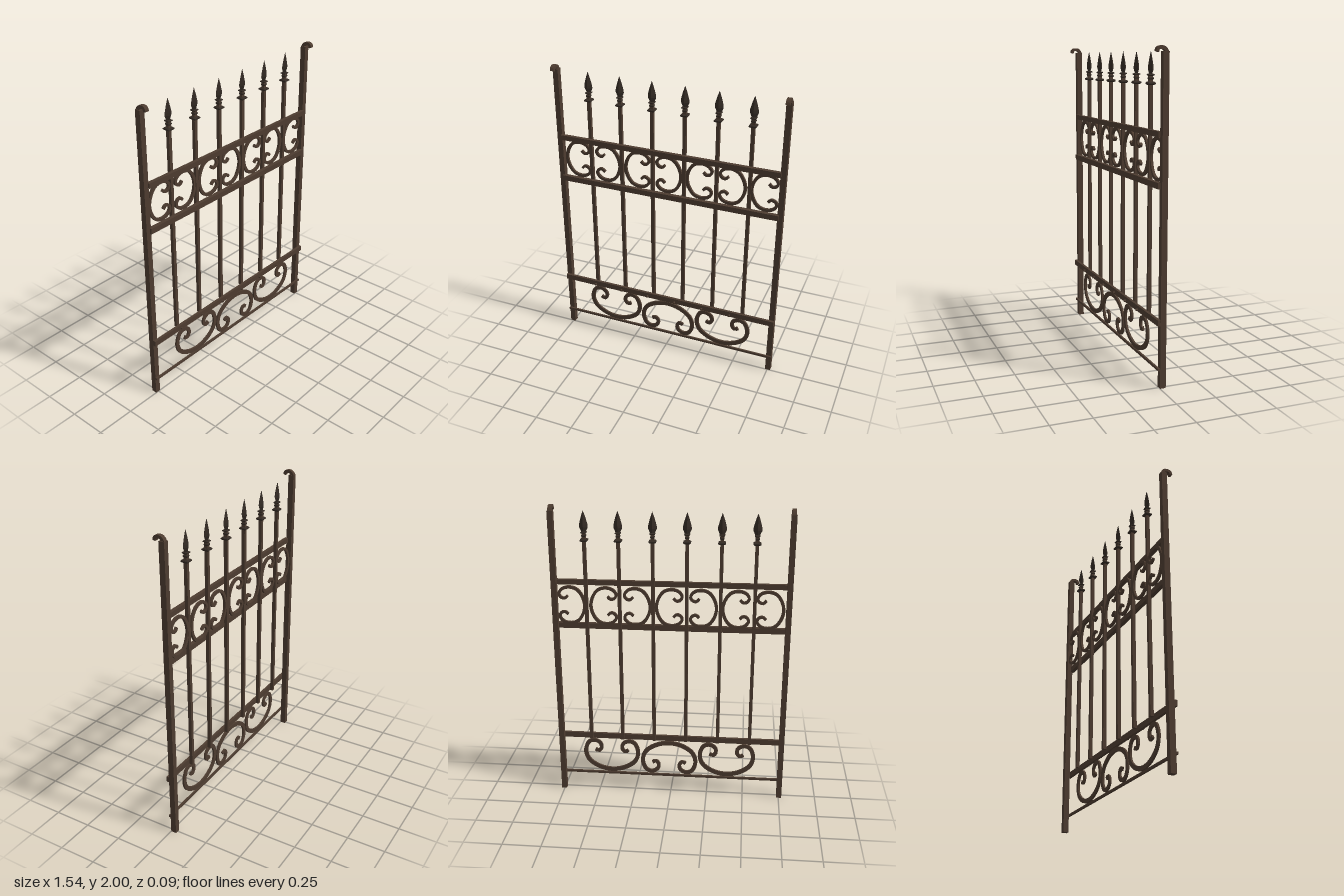
import * as THREE from 'three';

const iron = new THREE.MeshStandardMaterial({ color: 0x4d3c30 });
iron.name = 'brown iron';
const darkIron = new THREE.MeshStandardMaterial({ color: 0x352c25 });
darkIron.name = 'dark iron';

export function createModel() {
  const root = new THREE.Group();
  root.name = 'gatePanel';

  const add = (name, geo, mat = iron, parent = root) => {
    const mesh = new THREE.Mesh(geo, mat);
    mesh.name = name;
    parent.add(mesh);
    return mesh;
  };
  // Box given by its limits on each axis
  const box = (name, x0, x1, y0, y1, z0, z1, parent) => {
    const g = new THREE.BoxGeometry(x1 - x0, y1 - y0, z1 - z0);
    g.translate((x0 + x1) / 2, (y0 + y1) / 2, (z0 + z1) / 2);
    return add(name, g, iron, parent);
  };
  // Flat bar bent along a curve, slimmer toward both ends
  const strip = (pts, wMid, wEnd, depth, n = 72) => {
    const curve = new THREE.CatmullRomCurve3(pts.map(([x, y]) => new THREE.Vector3(x, y, 0)), false, 'centripetal');
    const a = [], b = [];
    for (let i = 0; i <= n; i++) {
      const t = i / n, p = curve.getPointAt(t), d = curve.getTangentAt(t);
      const w = (wEnd + (wMid - wEnd) * Math.sin(Math.PI * t)) / 2;
      a.push(new THREE.Vector2(p.x - d.y * w, p.y + d.x * w));
      b.unshift(new THREE.Vector2(p.x + d.y * w, p.y - d.x * w));
    }
    return new THREE.ExtrudeGeometry(new THREE.Shape([...a, ...b]), { depth, bevelEnabled: false });
  };

  // Posts with forward curling tops
  const hook = strip([[-0.026, 1.94], [-0.026, 1.965], [-0.012, 1.985], [0.01, 1.99],
    [0.027, 1.984], [0.034, 1.966]], 0.02, 0.018, 0.026, 20);
  hook.rotateY(-Math.PI / 2);
  hook.translate(0.013, 0, 0);
  for (const side of [-1, 1]) {
    const post = new THREE.Group();
    post.name = side > 0 ? 'leftPost' : 'rightPost';
    post.position.x = side * 0.753;
    root.add(post);
    box('postShaft', -0.0175, 0.0175, 0, 1.968, -0.037, 0, post);
    add('postHook', hook, iron, post);
  }

  // Horizontal rails
  box('topRail', -0.74, 0.74, 1.49, 1.523, -0.012, 0.012);
  box('middleRail', -0.745, 0.745, 1.194, 1.23, -0.012, 0.014);
  box('lowerRail', -0.77, 0.77, 0.387, 0.424, 0, 0.018);
  box('bottomRod', -0.77, 0.77, 0.11, 0.125, 0, 0.013);

  // Rivets on the lower rail
  const rivet = new THREE.CylinderGeometry(0.007, 0.007, 0.014, 8);
  rivet.rotateX(Math.PI / 2);
  for (let i = 0; i < 6; i++) add('rivet', rivet, iron).position.set(-0.535 + i * 0.2, 0.4, 0.024);

  // Pickets with collars and spear heads
  const blade = new THREE.LatheGeometry([[0.011, 1.815], [0.013, 1.835], [0.028, 1.868], [0.027, 1.885],
    [0.015, 1.93], [0, 1.973]].map(([x, y]) => new THREE.Vector2(x, y)), 4).toNonIndexed();
  blade.scale(1, 1, 0.65);
  blade.computeVertexNormals();
  const collar = (r, y, h) => {
    const g = new THREE.CylinderGeometry(r * 0.7, r * 0.7, h * 0.3, 4).toNonIndexed();
    const tier = new THREE.LatheGeometry([[0, -h / 2], [r, -h / 2], [r * 1.4, -h / 6], [r * 1.4, h / 6],
      [r, h / 2], [0, h / 2]].map(([x, v]) => new THREE.Vector2(x, v)), 4, Math.PI / 4).toNonIndexed();
    g.dispose();
    tier.computeVertexNormals();
    tier.translate(0, y, 0);
    return tier;
  };
  const collars = [collar(0.024, 1.786, 0.018), collar(0.018, 1.835, 0.012), collar(0.014, 1.815, 0.016)];
  for (let i = 0; i < 6; i++) {
    const picket = new THREE.Group();
    picket.name = 'picket';
    picket.position.set(-0.536 + i * 0.2162, 0, -0.022);
    root.add(picket);
    box('picketBar', -0.011, 0.011, 0.4, 1.83, -0.011, 0.011, picket);
    add('spearHead', blade, darkIron, picket);
    for (const c of collars) add('collar', c, darkIron, picket);
  }

  // Full path from a half path: mirror the rest across one axis
  const mirrored = (half, mx, my) => [...half.slice(1).reverse().map(([x, y]) => [x * mx, y * my]), ...half];

  // Upper C scrolls, in facing pairs with a single one at the end
  const cHalf = [[0.009, 0], [0.026, 0.066], [0.06, 0.108], [0.107, 0.121], [0.152, 0.109], [0.175, 0.077],
    [0.163, 0.052], [0.138, 0.046], [0.119, 0.063]];
  const cPath = mirrored(cHalf, 1, -1);
  const opensLeft = strip(cPath.map(([x, y]) => [-x, y]), 0.02, 0.017, 0.016);
  const opensRight = strip(cPath, 0.02, 0.017, 0.016);
  for (let i = 0; i < 4; i++) {
    const x = -0.728 + i * 0.425;
    add('upperScroll', opensRight).position.set(x, 1.357, -0.032);
    if (i < 3) add('upperScroll', opensLeft).position.set(x + 0.403, 1.357, -0.032);
  }

  // Lower scrolls: an arch between two inverted ones
  const archHalf = [[0, 0.111], [0.09, 0.092], [0.162, 0.04], [0.183, -0.03], [0.158, -0.098],
    [0.118, -0.112], [0.079, -0.09], [0.073, -0.052], [0.094, -0.03], [0.115, -0.042]];
  const arch = mirrored(archHalf, -1, 1);
  const archGeo = strip(arch, 0.029, 0.024, 0.013);
  const cupGeo = strip(arch.map(([x, y]) => [x, -y]), 0.029, 0.024, 0.013);
  [[-0.383, cupGeo], [0.013, archGeo], [0.412, cupGeo]].forEach(([x, g]) => {
    add('lowerScroll', g).position.set(x, 0.256, 0);
  });

  return root;
}
